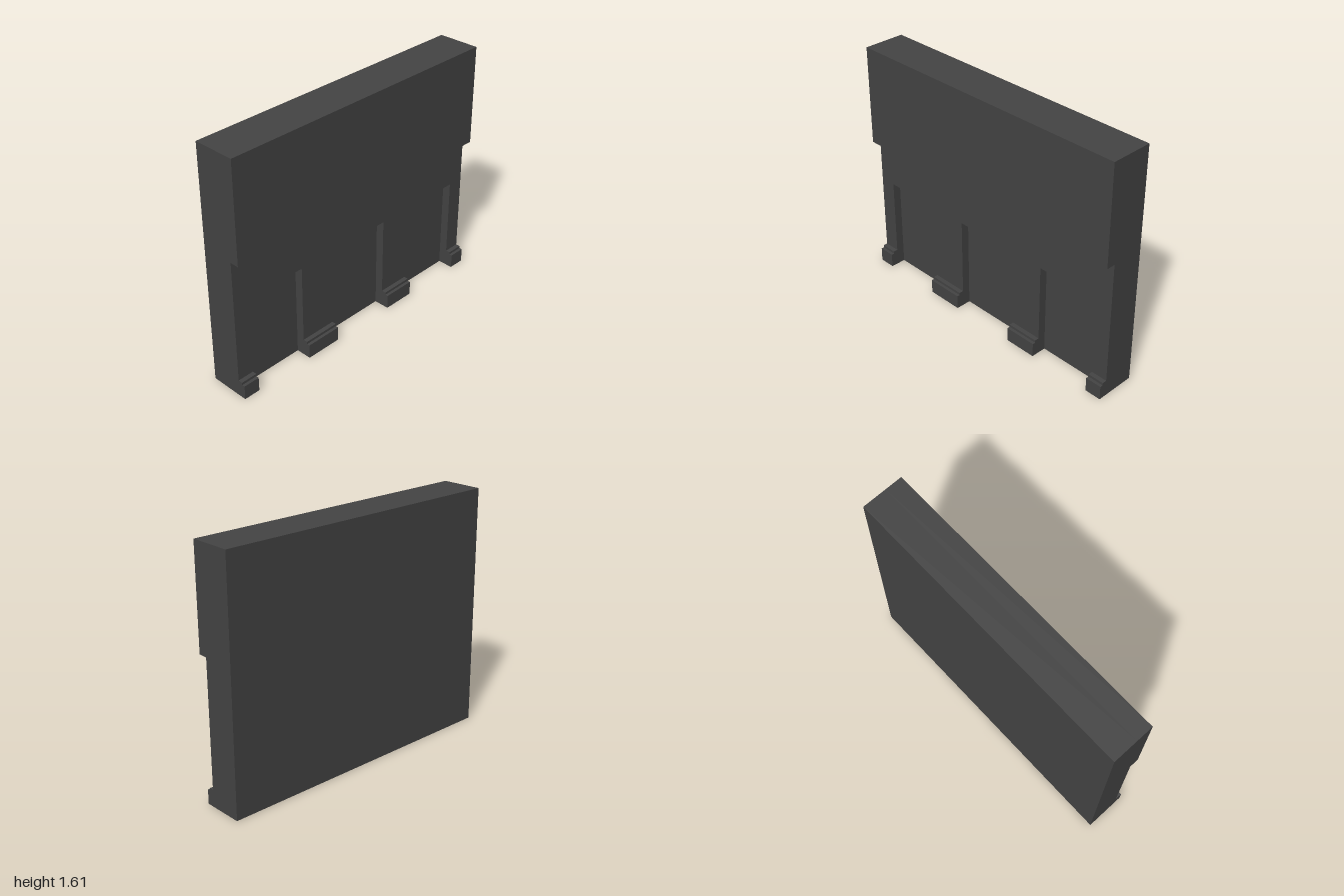
import * as THREE from 'three';

const HEIGHT = 1.605, BACK = -0.14, RECESS = 0.025, WALL = 0.08, FRONT = 0.14;
const OVERHANG_Y = 0.94, OPENING_TOP = 0.64;
const OPENINGS = [[-0.89, -0.475], [-0.225, 0.235], [0.455, 0.89]];

export function createModel() {
  const group = new THREE.Group();
  const material = new THREE.MeshStandardMaterial({ color: 0x444444 });
  material.name = 'dark grey';

  const add = (name, geometry) => {
    const mesh = new THREE.Mesh(geometry, material);
    mesh.name = name;
    group.add(mesh);
    return mesh;
  };
  const addSlab = (name, y0, y1, z0, z1) =>
    add(name, new THREE.BoxGeometry(2, y1 - y0, z1 - z0))
      .position.set(0, (y0 + y1) / 2, (z0 + z1) / 2);

  // Full-height rear wall and the thicker upper fascia
  addSlab('backWall', 0, HEIGHT, BACK, RECESS);
  addSlab('upperFascia', OVERHANG_Y, HEIGHT, RECESS, FRONT);

  // Lower front wall, notched by three openings that reach the ground
  const outline = new THREE.Shape();
  outline.moveTo(-1, 0);
  for (const [x0, x1] of OPENINGS) {
    outline.lineTo(x0, 0);
    outline.lineTo(x0, OPENING_TOP);
    outline.lineTo(x1, OPENING_TOP);
    outline.lineTo(x1, 0);
  }
  outline.lineTo(1, 0);
  outline.lineTo(1, OVERHANG_Y);
  outline.lineTo(-1, OVERHANG_Y);
  add('lowerWall', new THREE.ExtrudeGeometry(outline, { depth: WALL - RECESS, bevelEnabled: false }))
    .position.z = RECESS;

  // Stepped plinth at the foot of each pier; profile is drawn as (-z, y)
  const profile = new THREE.Shape([
    [-WALL, 0], [-WALL, 0.112], [-0.11, 0.112], [-0.11, 0.095], [-0.13, 0.095], [-0.13, 0],
  ].map(([x, y]) => new THREE.Vector2(x, y)));
  const edges = [-1, ...OPENINGS.flat(), 1];
  for (let i = 0; i < edges.length; i += 2) {
    const plinth = new THREE.ExtrudeGeometry(profile, { depth: edges[i + 1] - edges[i], bevelEnabled: false });
    plinth.rotateY(Math.PI / 2);
    add('plinth' + (i / 2 + 1), plinth).position.x = edges[i];
  }
  return group;
}
